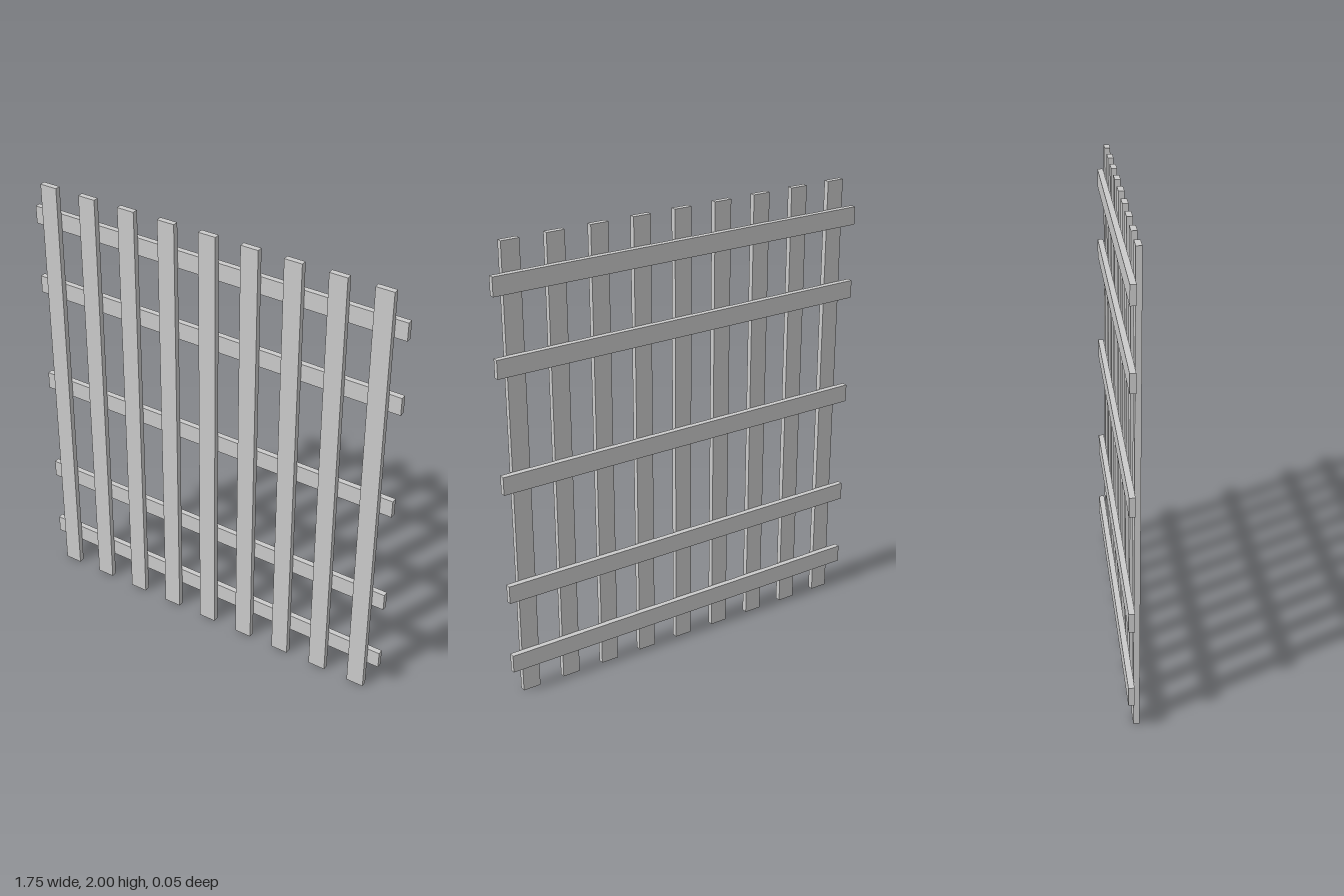
import * as THREE from 'three';

const WIDTH = 0.08;      // face width of every board
const THICKNESS = 0.025; // depth of every board

export function createModel() {
  const group = new THREE.Group();
  group.name = 'latticePanel';
  const material = new THREE.MeshStandardMaterial({ color: 0xcccccc, flatShading: true });

  const addBoards = (name, geometry, positions) => {
    const boards = new THREE.Group();
    boards.name = name + 's';
    positions.forEach(([x, y, z], i) => {
      const board = new THREE.Mesh(geometry, material);
      board.name = name + (i + 1);
      board.position.set(x, y, z);
      boards.add(board);
    });
    group.add(boards);
  };

  // Nine evenly spaced upright slats at the front
  const slatPositions = Array.from({ length: 9 }, (_, i) => [(i - 4) * 0.195, 1, THICKNESS / 2]);
  addBoards('slat', new THREE.BoxGeometry(WIDTH, 2, THICKNESS), slatPositions);

  // Five cross rails fixed behind the slats
  const railPositions = [0.165, 0.5, 1, 1.5, 1.835].map((y) => [0, y, -THICKNESS / 2]);
  addBoards('rail', new THREE.BoxGeometry(1.75, WIDTH, THICKNESS), railPositions);

  return group;
}
